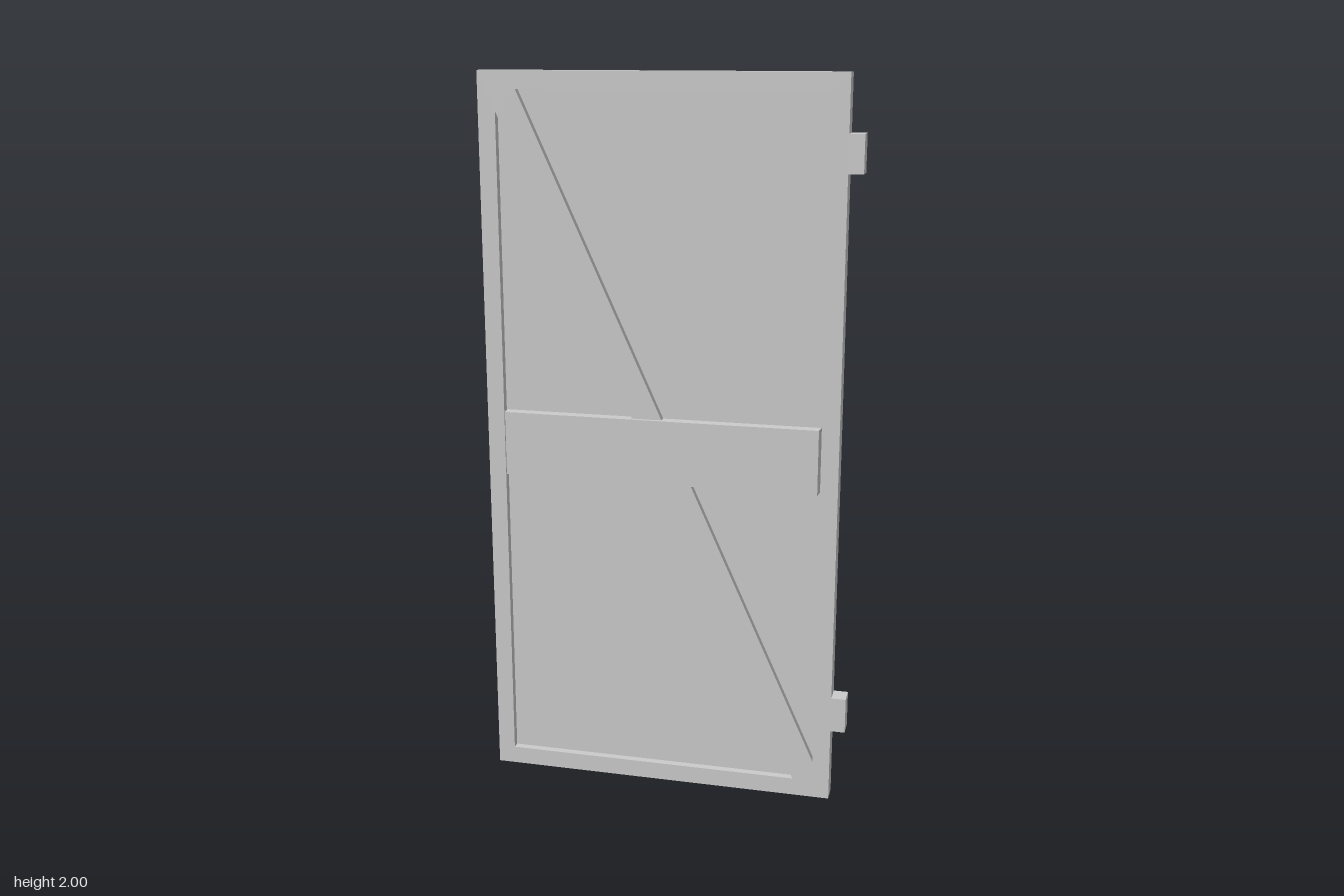
import * as THREE from 'three';

const material = new THREE.MeshStandardMaterial({ color: 0xcccccc, flatShading: true });
const DEPTH = 0.053;

function add(parent, name, geometry) {
  const mesh = new THREE.Mesh(geometry, material);
  mesh.name = name;
  parent.add(mesh);
  return mesh;
}

// Box given by its lower and upper corners
function boxBetween([x0, y0, z0], [x1, y1, z1]) {
  return new THREE.BoxGeometry(x1 - x0, y1 - y0, z1 - z0)
    .translate((x0 + x1) / 2, (y0 + y1) / 2, (z0 + z1) / 2);
}

const outline = (points) => points.map(([x, y]) => new THREE.Vector2(x, y));

export function createModel() {
  const door = new THREE.Group();
  door.name = 'door';

  // Frame and diagonal brace: a slab with two triangular openings
  const slab = new THREE.Shape(outline([[-0.512, 0], [0.472, 0], [0.472, 2], [-0.512, 2]]));
  slab.holes.push(
    new THREE.Path(outline([[-0.407, 1.952], [0.424, 1.952], [0.424, 0.11]])),
    new THREE.Path(outline([[-0.464, 1.895], [-0.464, 0.05], [0.368, 0.05]])),
  );
  add(door, 'frameAndBrace', new THREE.ExtrudeGeometry(slab, { depth: DEPTH, bevelEnabled: false }));

  // Recessed panel, visible from both sides
  add(door, 'panel', boxBetween([-0.47, 0.04, 0.021], [0.43, 1.96, 0.032]));

  // Middle rail standing proud of the front, its ends slightly tapered
  const rail = boxBetween([-0.462, 0.9, 0.025], [0.422, 1.08, 0.064]);
  const p = rail.attributes.position;
  for (let i = 0; i < p.count; i++) {
    if (p.getZ(i) > 0.05) p.setX(i, p.getX(i) - Math.sign(p.getX(i)) * 0.004);
  }
  rail.computeVertexNormals();
  add(door, 'middleRail', rail);

  // Hinge blocks on the left edge
  for (const y of [0.21, 1.75]) {
    add(door, 'hinge', boxBetween([0.472, y, 0], [0.512, y + 0.1, DEPTH]));
  }

  // Pull handle on the back: a squared C profile
  const profile = new THREE.Shape(outline([
    [0, 0.83], [0.07, 0.83], [0.07, 1.152], [0, 1.152],
    [0, 1.122], [0.041, 1.122], [0.041, 0.86], [0, 0.86],
  ]));
  const handle = add(door, 'handle', new THREE.ExtrudeGeometry(profile, { depth: 0.035, bevelEnabled: false }));
  handle.rotation.y = Math.PI / 2;
  handle.position.x = -0.505;

  return door;
}
